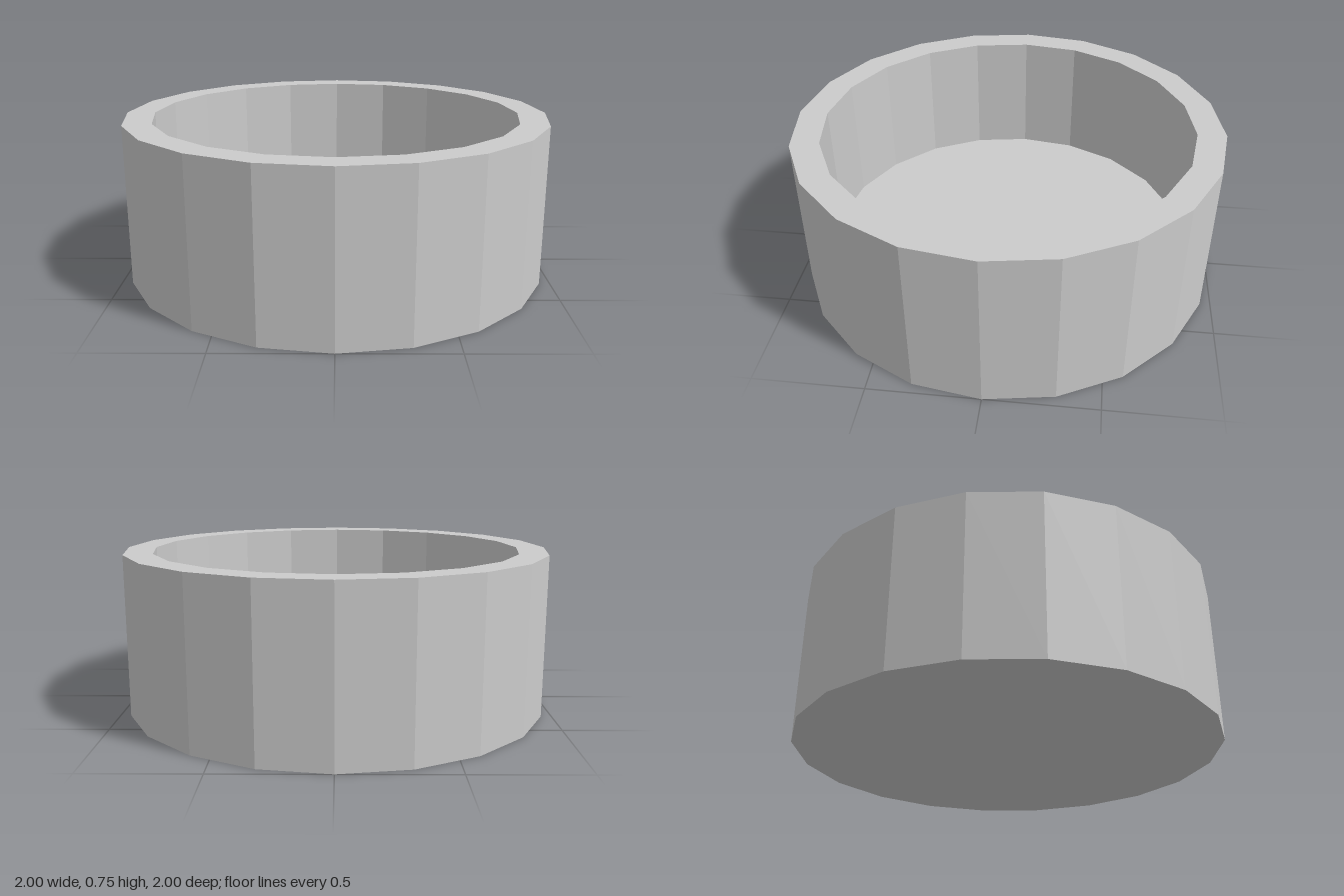
import * as THREE from 'three';

const SIDES = 20;
const OUTER = 1, INNER = 0.867; // wall radii
const HEIGHT = 0.75, FLOOR = 0.14;

export function createModel() {
  const group = new THREE.Group();
  group.name = 'openDish';
  const material = new THREE.MeshStandardMaterial({ color: 0xcccccc, flatShading: true });

  // Closed cross-section: underside, outer wall, rim, inner wall, floor
  const profile = [
    [0, 0], [OUTER, 0], [OUTER, HEIGHT], [INNER, HEIGHT], [INNER, FLOOR], [0, FLOOR],
  ].map(([r, y]) => new THREE.Vector2(r, y));

  const dish = new THREE.Mesh(new THREE.LatheGeometry(profile, SIDES), material);
  dish.name = 'dish';
  group.add(dish);
  return group;
}
